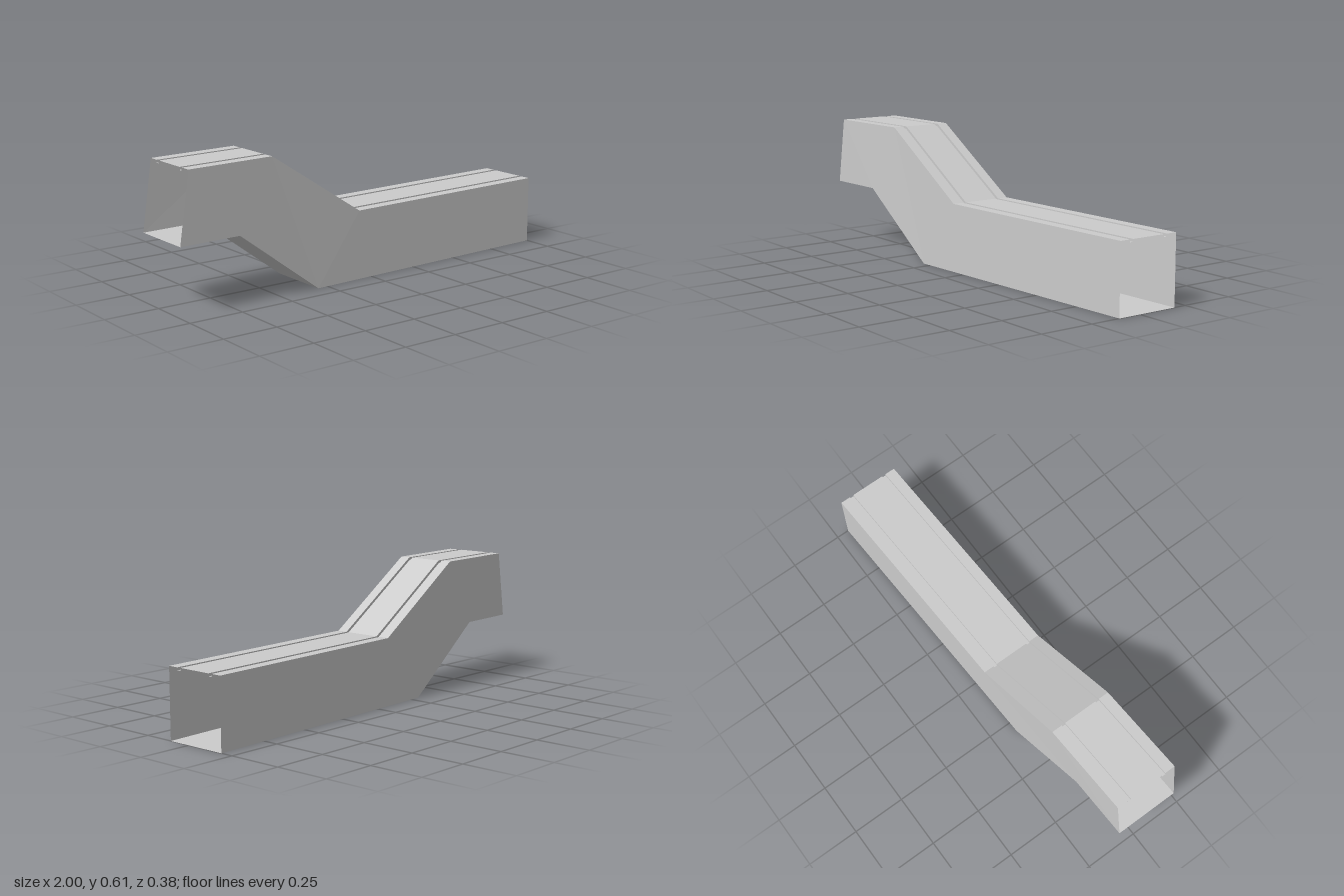
import * as THREE from 'three';

const DEPTH = 0.012; // groove depth
const WIDTH = 0.018; // groove width
const INSET = 0.049; // groove distance from the duct edge

// Stations along the duct: top and bottom corners, with front and back z.
const stations = [
  { top: [1, 0.312, 0.108, -0.19], bottom: [1, 0, 0.108, -0.19], shift: 0 },
  { top: [-0.07, 0.312, 0.152, -0.145], bottom: [-0.3, 0, 0.161, -0.135], shift: -0.003 },
  { top: [-0.535, 0.612, 0.163, -0.131], bottom: [-0.71, 0.302, 0.179, -0.119], shift: -0.003 },
  { top: [-0.953, 0.612, 0.188, -0.11], bottom: [-1, 0.302, 0.19, -0.108], shift: -0.002 },
];

// Closed cross-section with two square grooves sunk in the top face.
function section({ top, bottom, shift }) {
  const [x, y, front, back] = top;
  const [bx, by, bFront, bBack] = bottom;
  const groove = (a, b) => [
    [x, y, a], [x + shift, y - DEPTH, a], [x + shift, y - DEPTH, b], [x, y, b],
  ];
  return [
    [bx, by, bFront],
    [x, y, front],
    ...groove(front - INSET, front - INSET - WIDTH),
    ...groove(back + INSET + WIDTH, back + INSET),
    [x, y, back],
    [bx, by, bBack],
  ];
}

// Skin neighbouring cross-sections with quads, leaving both ends open.
function loft(sections) {
  const positions = [];
  for (let i = 0; i < sections.length - 1; i++) {
    const p = sections[i], q = sections[i + 1], n = p.length;
    for (let j = 0; j < n; j++) {
      const k = (j + 1) % n;
      positions.push(...p[j], ...p[k], ...q[k], ...p[j], ...q[k], ...q[j]);
    }
  }
  const geometry = new THREE.BufferGeometry();
  geometry.setAttribute('position', new THREE.Float32BufferAttribute(positions, 3));
  geometry.computeVertexNormals();
  return geometry;
}

export function createModel() {
  const group = new THREE.Group();
  group.name = 'steppedDuct';
  const material = new THREE.MeshStandardMaterial({
    color: 0xcccccc, flatShading: true, side: THREE.DoubleSide,
  });
  // Open duct with its grooved top
  const duct = new THREE.Mesh(loft(stations.map(section)), material);
  duct.name = 'groovedDuct';
  group.add(duct);
  return group;
}
